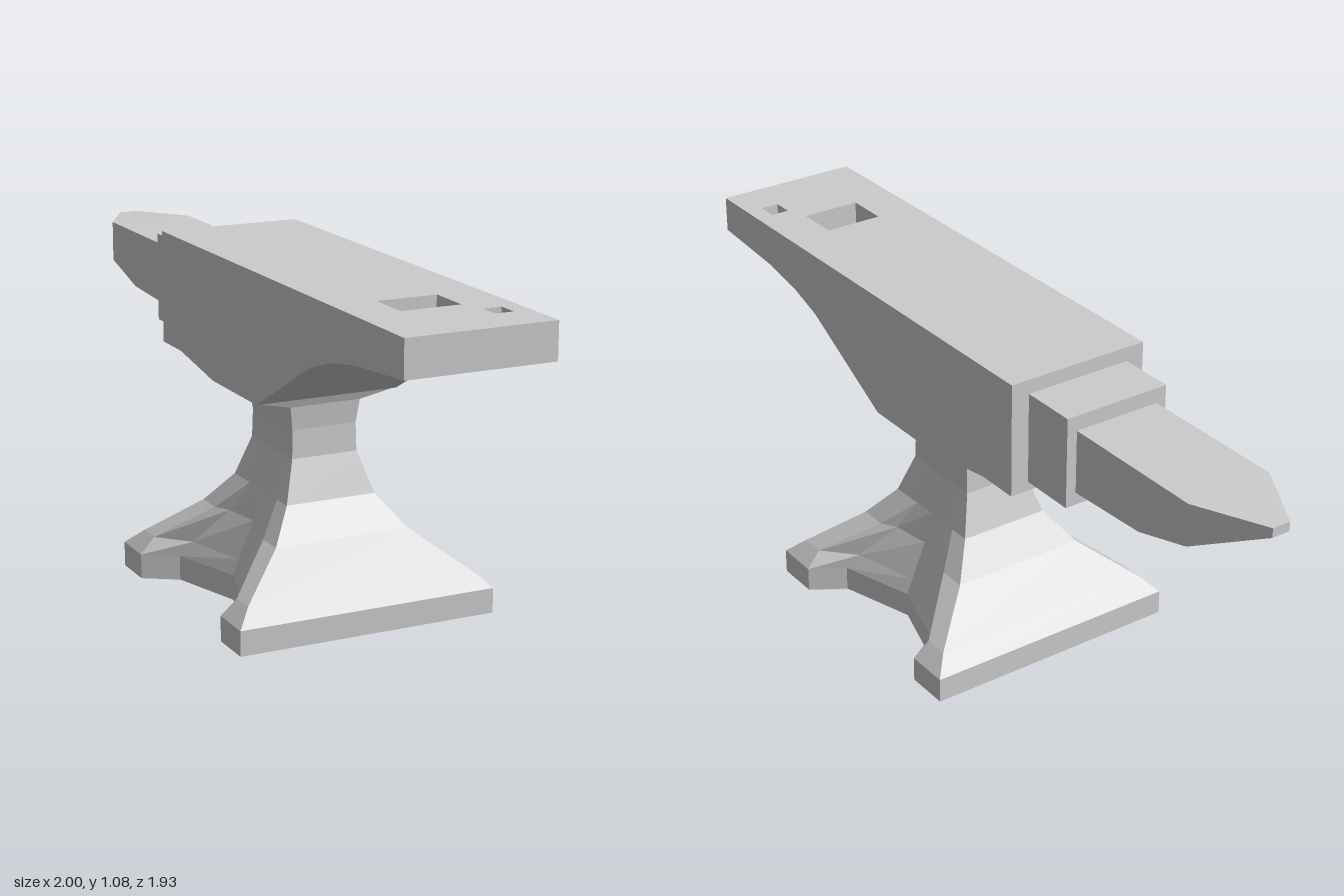
import * as THREE from 'three';

const material = new THREE.MeshStandardMaterial({ color: 0xcccccc, flatShading: true });

// Skin a list of equal-length point rings and close both ends with fans
function loft(rings) {
  const pos = [];
  const tri = (a, b, c) => pos.push(...a, ...b, ...c);
  const centre = (r) => [0, 1, 2].map((k) => r.reduce((s, p) => s + p[k], 0) / r.length);
  const n = rings[0].length;
  const first = rings[0], last = rings[rings.length - 1];
  const c0 = centre(first), c1 = centre(last);
  for (let j = 0; j < n; j++) {
    const k = (j + 1) % n;
    for (let i = 0; i < rings.length - 1; i++) {
      const lo = rings[i], hi = rings[i + 1];
      tri(lo[j], hi[j], lo[k]);
      tri(lo[k], hi[j], hi[k]);
    }
    tri(c0, first[j], first[k]);
    tri(c1, last[k], last[j]);
  }
  const g = new THREE.BufferGeometry();
  g.setAttribute('position', new THREE.Float32BufferAttribute(pos, 3));
  g.computeVertexNormals();
  return g;
}

const polygon = (pts) => pts.map(([x, y]) => new THREE.Vector2(x, y));
const rectangle = (x0, x1, y0, y1) => polygon([[x0, y0], [x1, y0], [x1, y1], [x0, y1]]);

export function createModel() {
  const anvil = new THREE.Group();
  anvil.name = 'anvil';
  const add = (name, geometry) => {
    const mesh = new THREE.Mesh(geometry, material);
    mesh.name = name;
    anvil.add(mesh);
    return mesh;
  };

  // Foot and waist: [y, end, side, foot inner edge, notch x, notch z, notch middle z]
  const levels = [
    [0, 0.453, 0.427, 0.311, 0.245, 0.32, 0.245],
    [0.08, 0.453, 0.427, 0.311, 0.245, 0.32, 0.245],
    [0.13, 0.4, 0.378, 0.32, 0.22, 0.285, 0.225],
    [0.25, 0.27, 0.225, 0.18, 0.13, 0.195, 0.175],
    [0.35, 0.19, 0.15, 0.12, 0.08, 0.148, 0.145],
    [0.48, 0.145, 0.11, 0.1, 0.06, 0.11, 0.11],
    [0.57, 0.142, 0.108, 0.1, 0.06, 0.108, 0.108],
    [0.645, 0.15, 0.118, 0.1, 0.06, 0.118, 0.118],
    [0.672, 0.16, 0.237, 0.1, 0.06, 0.237, 0.237],
  ];
  const baseRings = levels.map(([y, u, v, i, nx, nz, nm]) => {
    const half = [[u, v], [i, v], [nx, nz], [0, nm], [-nx, nz], [-i, v], [-u, v]];
    return [...half, ...half.map(([x, z]) => [-x, -z])].map(([x, z]) => [x + 0.075, y, z]);
  });
  add('base', loft(baseRings));

  // Body with the curved underside of the heel
  const bodyShape = new THREE.Shape(polygon([
    [-0.478, 0.71], [-0.334, 0.71], [-0.084, 0.67], [0.237, 0.67], [0.597, 0.868],
    [0.722, 0.91], [0.874, 0.938], [1.15, 0.96], [1.15, 0.995], [-0.478, 0.995],
  ]));
  const body = new THREE.ExtrudeGeometry(bodyShape, { depth: 0.474, bevelEnabled: false });
  add('body', body.translate(0, 0, -0.237));

  // Top plate with two square sockets
  const plateShape = new THREE.Shape(rectangle(-0.478, 1.15, -0.237, 0.237));
  plateShape.holes.push(
    new THREE.Path(rectangle(0.73, 0.87, -0.096, 0.096)),
    new THREE.Path(rectangle(0.942, 1.008, 0.122, 0.181)),
  );
  const plate = new THREE.ExtrudeGeometry(plateShape, { depth: 0.08, bevelEnabled: false });
  add('topPlate', plate.rotateX(-Math.PI / 2).translate(0, 0.995, 0));

  // Step between the face and the horn
  add('step', new THREE.BoxGeometry(0.183, 0.29, 0.354)).position.set(-0.5695, 0.885, 0);

  // Horn: [x, bottom, top, half width]
  const hornRings = [
    [-0.66, 0.78, 0.982, 0.143],
    [-0.948, 0.793, 0.982, 0.143],
    [-1.15, 0.848, 0.982, 0.143],
    [-1.362, 0.942, 0.972, 0.03],
  ].map(([x, b, t, w]) => [[x, t, -w], [x, t, w], [x, b, w], [x, b, -w]]);
  add('horn', loft(hornRings));

  // The anvil stands diagonally
  const angle = 0.764;
  anvil.rotation.y = -angle;
  anvil.position.set(0.006 * Math.sin(angle), 0, -0.006 * Math.cos(angle));

  const model = new THREE.Group();
  model.name = 'model';
  model.add(anvil);
  return model;
}
